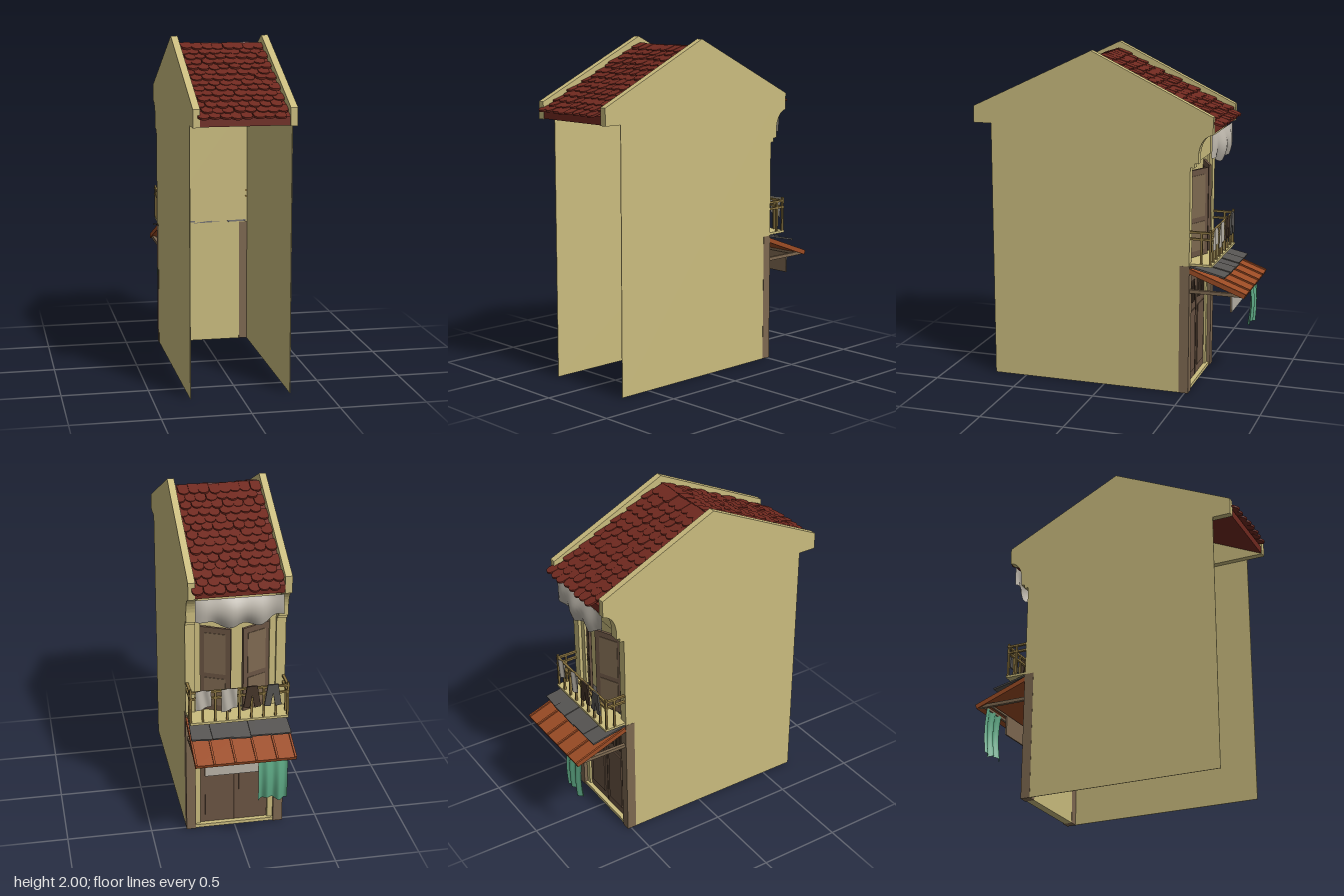
import * as THREE from 'three';
import { mergeGeometries } from 'three/addons/utils/BufferGeometryUtils.js';

const mat = (name, color, side = THREE.FrontSide) => {
  const m = new THREE.MeshStandardMaterial({ color, side });
  m.name = name;
  return m;
};

export function createModel() {
  const M = {
    wall: mat('ochre plaster', 0xcabc7e, THREE.DoubleSide),
    tile: mat('red clay tile', 0x70291f),
    pillar: mat('brown stone', 0x7d6850),
    door: mat('door wood', 0x6a5443),
    dark: mat('dark wood', 0x453529, THREE.DoubleSide),
    orange: mat('rusty sheet', 0x9c4c25),
    tarp: mat('grey tarp', 0x565452, THREE.DoubleSide),
    white: mat('off-white cloth', 0xb9b3a8, THREE.DoubleSide),
    green: mat('green cloth', 0x5da884, THREE.DoubleSide),
    rail: mat('railing wood', 0x8a7440),
  };
  const model = new THREE.Group();
  let seed = 7;
  const rnd = () => (seed = (seed * 16807) % 2147483647) / 2147483647 - 0.5;

  const add = (name, geo, m, parent = model) => {
    const mesh = new THREE.Mesh(geo, m);
    mesh.name = name;
    parent.add(mesh);
    return mesh;
  };
  // Box given by its minimum and maximum corners
  const box = (name, m, x0, x1, y0, y1, z0, z1, parent) => {
    const b = add(name, new THREE.BoxGeometry(x1 - x0, y1 - y0, z1 - z0), m, parent);
    b.position.set((x0 + x1) / 2, (y0 + y1) / 2, (z0 + z1) / 2);
    return b;
  };
  // Mirrored pair of boxes at +x and -x
  const pair = (name, m, x0, x1, ...r) => {
    box(name, m, x0, x1, ...r);
    box(name, m, -x1, -x0, ...r);
  };
  // Extrude a (z, y) outline along x, starting at x0
  const sideExtrude = (name, m, shape, x0, width) => {
    const g = new THREE.ExtrudeGeometry(shape, { depth: width, bevelEnabled: false, curveSegments: 8 });
    g.rotateY(-Math.PI / 2).translate(x0 + width, 0, 0);
    return add(name, g, m);
  };
  const outline = (pts) => new THREE.Shape(pts.map((p) => new THREE.Vector2(p[0], p[1])));

  // Side walls, gables and eave brackets
  const wallShape = outline([[0.7, 0], [0.7, 1.56], [-0.52, 1.56], [-0.52, 0.775], [-0.47, 0.775], [-0.47, 0]]);
  const gable = outline([[0.81, 1.55], [0.81, 1.65], [0.075, 2], [-0.65, 1.65], [-0.65, 1.55]]);
  const bracket = new THREE.Shape();
  bracket.moveTo(-0.47, 1.355);
  bracket.lineTo(-0.545, 1.355);
  bracket.lineTo(-0.545, 1.38);
  bracket.lineTo(-0.568, 1.38);
  bracket.lineTo(-0.568, 1.44);
  bracket.quadraticCurveTo(-0.58, 1.535, -0.65, 1.55);
  bracket.lineTo(-0.47, 1.55);
  for (const s of [1, -1]) {
    const at = (w) => (s > 0 ? 0.29 - w : -0.29);
    sideExtrude('sideWall', M.wall, wallShape, at(0.004), 0.004);
    sideExtrude('gable', M.wall, gable, at(0.04), 0.04);
    sideExtrude('eaveBracket', M.wall, bracket, at(0.055), 0.055);
  }

  // Roof slab
  const slab = outline([[0.805, 1.553], [0.805, 1.6], [0.075, 1.945], [-0.645, 1.6], [-0.645, 1.553], [0.075, 1.9]]);
  sideExtrude('roofSlab', M.tile, slab, -0.25, 0.5);

  // Overlapping round-ended tiles on both slopes
  const w = 0.031;
  const tileShape = new THREE.Shape();
  tileShape.moveTo(-w, 0);
  tileShape.lineTo(w, 0);
  tileShape.lineTo(w, 0.06);
  tileShape.absarc(0, 0.06, w, 0, Math.PI, false);
  const tileGeo = new THREE.ExtrudeGeometry(tileShape, { depth: 0.012, bevelEnabled: false, curveSegments: 8 });
  tileGeo.rotateX(Math.PI / 2);
  for (const s of [1, -1]) {
    const tiles = [];
    const o = new THREE.Object3D();
    for (let r = 0; r < 14; r++) {
      for (let c = 0; c < 8; c++) {
        o.position.set(-0.222 + c * 0.061 + (r % 2 ? -0.014 : 0.016) + rnd() * 0.006, 0.004 + rnd() * 0.006, r * 0.0585 + rnd() * 0.012);
        o.rotation.set(-0.13 + rnd() * 0.04, rnd() * 0.12, rnd() * 0.08);
        o.updateMatrix();
        tiles.push(tileGeo.clone().applyMatrix4(o.matrix));
      }
    }
    const slope = new THREE.Group();
    slope.name = 'roofSlope';
    slope.position.set(0, 1.955, 0.075);
    slope.rotation.y = s > 0 ? 0 : Math.PI;
    model.add(slope);
    add('roofTiles', mergeGeometries(tiles), M.tile, slope).rotation.x = 0.442;
  }

  // Facade: backing wall, pillars, pilasters, lintels
  box('backingWall', M.wall, -0.235, 0.235, 0, 0.78, -0.472, -0.465);
  box('upperBackingWall', M.wall, -0.288, 0.288, 0.775, 1.553, -0.472, -0.465);
  pair('pillar', M.pillar, 0.235, 0.291, 0, 0.775, -0.522, -0.464);
  pair('pilaster', M.wall, 0.235, 0.288, 0.775, 1.4, -0.52, -0.47);
  pair('upperJamb', M.wall, 0.2, 0.235, 0.79, 1.36, -0.5, -0.47);
  box('upperLintel', M.wall, -0.25, 0.25, 1.345, 1.553, -0.505, -0.47);
  pair('doorJamb', M.wall, 0.203, 0.235, 0, 0.72, -0.5, -0.47);
  box('doorLintel', M.wall, -0.235, 0.235, 0.69, 0.775, -0.505, -0.47);
  box('threshold', M.wall, -0.235, 0.235, 0, 0.02, -0.515, -0.47);

  // Closed street door with small barred windows
  for (const s of [1, -1]) {
    const cx = s * 0.1015;
    box('doorLeaf', M.door, cx - 0.0995, cx + 0.0995, 0.02, 0.69, -0.487, -0.47);
    box('doorPanel', M.door, cx - 0.072, cx + 0.072, 0.07, 0.45, -0.493, -0.486);
    box('doorWindow', M.dark, cx - 0.065, cx + 0.065, 0.5, 0.63, -0.491, -0.486);
    for (let i = -1; i <= 1; i++) box('windowBar', M.door, cx + i * 0.033 - 0.005, cx + i * 0.033 + 0.005, 0.5, 0.63, -0.496, -0.49);
  }
  box('doorGap', M.dark, -0.004, 0.004, 0.02, 0.69, -0.489, -0.48);

  // Balcony doors standing ajar
  for (const s of [1, -1]) {
    const leaf = new THREE.Group();
    leaf.name = 'balconyDoor';
    leaf.position.set(s * 0.2, 0, -0.478);
    leaf.rotation.y = -s * 0.44;
    model.add(leaf);
    const c = -s * 0.092;
    box('balconyDoorLeaf', M.door, c - 0.092, c + 0.092, 0.795, 1.315, -0.008, 0.008, leaf);
    for (const [y0, y1] of [[0.83, 1.0], [1.03, 1.28]]) box('balconyDoorPanel', M.pillar, c - 0.062, c + 0.062, y0, y1, -0.011, 0.011, leaf);
  }

  // Balcony floor, rails and balusters
  box('balconyFloor', M.wall, -0.285, 0.285, 0.778, 0.792, -0.655, -0.5);
  for (const y of [0.94, 0.98]) {
    box('frontRail', M.rail, -0.288, 0.288, y - 0.006, y + 0.006, -0.65, -0.636);
    pair('sideRail', M.rail, 0.272, 0.288, y - 0.006, y + 0.006, -0.65, -0.46);
  }
  for (let i = 0; i < 9; i++) {
    const x = -0.28 + i * 0.07;
    const end = i % 8 === 0;
    box('baluster', M.rail, x - 0.006, x + 0.006, 0.79, end ? 1.0 : 0.98, -0.649, -0.637);
  }
  pair('sideBaluster', M.rail, 0.274, 0.286, 0.79, 0.98, -0.596, -0.584);

  // Hanging cloth: a plane whose vertices are moved by rule(x, v), v = 0 at top, 1 at hem
  const cloth = (name, m, x0, x1, top, drop, rule) => {
    const g = new THREE.PlaneGeometry(x1 - x0, 1, 24, 8);
    const p = g.attributes.position;
    for (let i = 0; i < p.count; i++) {
      const u = p.getX(i) / (x1 - x0) + 0.5;
      const v = 0.5 - p.getY(i);
      const [dy, z] = rule(u, v);
      p.setXYZ(i, x0 + u * (x1 - x0), top - v * drop + dy, z);
    }
    g.computeVertexNormals();
    return add(name, g, m);
  };
  cloth('eaveDrape', M.white, -0.25, 0.25, 1.54, 0.12, (u, v) => [
    -v * 0.05 * Math.sin(u * Math.PI) + v * 0.012 * Math.sin(u * 17),
    -0.635 - 0.03 * Math.sin(v * Math.PI) * Math.sin(u * Math.PI) + 0.014 * v * Math.sin(u * 19)]);
  cloth('greenCloth', M.green, -0.25, -0.08, 0.62, 0.28, (u, v) => [
    -0.012 * v * Math.sin(u * 7), -0.797 - 0.012 * Math.sin(v * 3) + 0.013 * Math.sin(u * 16) * (0.4 + 0.6 * v)]);

  // Laundry on the balcony rail
  for (const [x, h] of [[0.21, 0.1], [0.06, 0.12]])
    cloth('towel', M.white, x - 0.045, x + 0.045, 0.995, h, (u, v) => [-0.03 * v * u, -0.656 - 0.005 * Math.sin(u * 9 + v * 2)]);
  for (const [x, m] of [[-0.07, M.dark], [-0.19, M.tarp]]) {
    const legs = outline([[-0.03, 0], [0.03, 0], [0.05, -0.13], [0.014, -0.135], [0, -0.055], [-0.014, -0.135], [-0.05, -0.13]]);
    const g = new THREE.ExtrudeGeometry(legs, { depth: 0.01, bevelEnabled: false });
    add('trousers', g, m).position.set(x, 1.0, -0.663);
  }

  // Street canopy: sloped sheet, ribs, torn tarp, beams
  const canopy = new THREE.Group();
  canopy.name = 'canopy';
  canopy.position.set(0, 0.757, -0.485);
  canopy.rotation.x = -0.355;
  model.add(canopy);
  box('canopySheet', M.orange, -0.29, 0.29, -0.012, 0.008, -0.39, 0.01, canopy);
  for (const x of [-0.284, -0.18, -0.06, 0.06, 0.18, 0.284]) box('canopyRib', M.orange, x - 0.006, x + 0.006, 0.006, 0.016, -0.39, 0.0, canopy);
  for (let i = 0; i < 5; i++) {
    const x = -0.224 + i * 0.112;
    const t = box('tarpPiece', M.tarp, x - 0.06, x + 0.06, 0, 0.01, -0.26, 0.02);
    t.position.set(x, 0.752 + rnd() * 0.008, -0.597 + rnd() * 0.014);
    t.rotation.set(-0.22, rnd() * 0.12, rnd() * 0.06);
  }
  pair('canopyBeam', M.pillar, 0.262, 0.282, 0.614, 0.634, -0.83, -0.5);
  box('canopyCrossBeam', M.pillar, -0.28, 0.28, 0.614, 0.63, -0.81, -0.795);
  box('signBar', M.pillar, -0.28, 0.28, 0.614, 0.626, -0.762, -0.75);

  // Blank hanging board
  box('boardBack', M.pillar, -0.09, 0.22, 0.5, 0.616, -0.758, -0.75);
  box('boardFace', M.white, -0.088, 0.218, 0.502, 0.614, -0.761, -0.757);
  return model;
}
